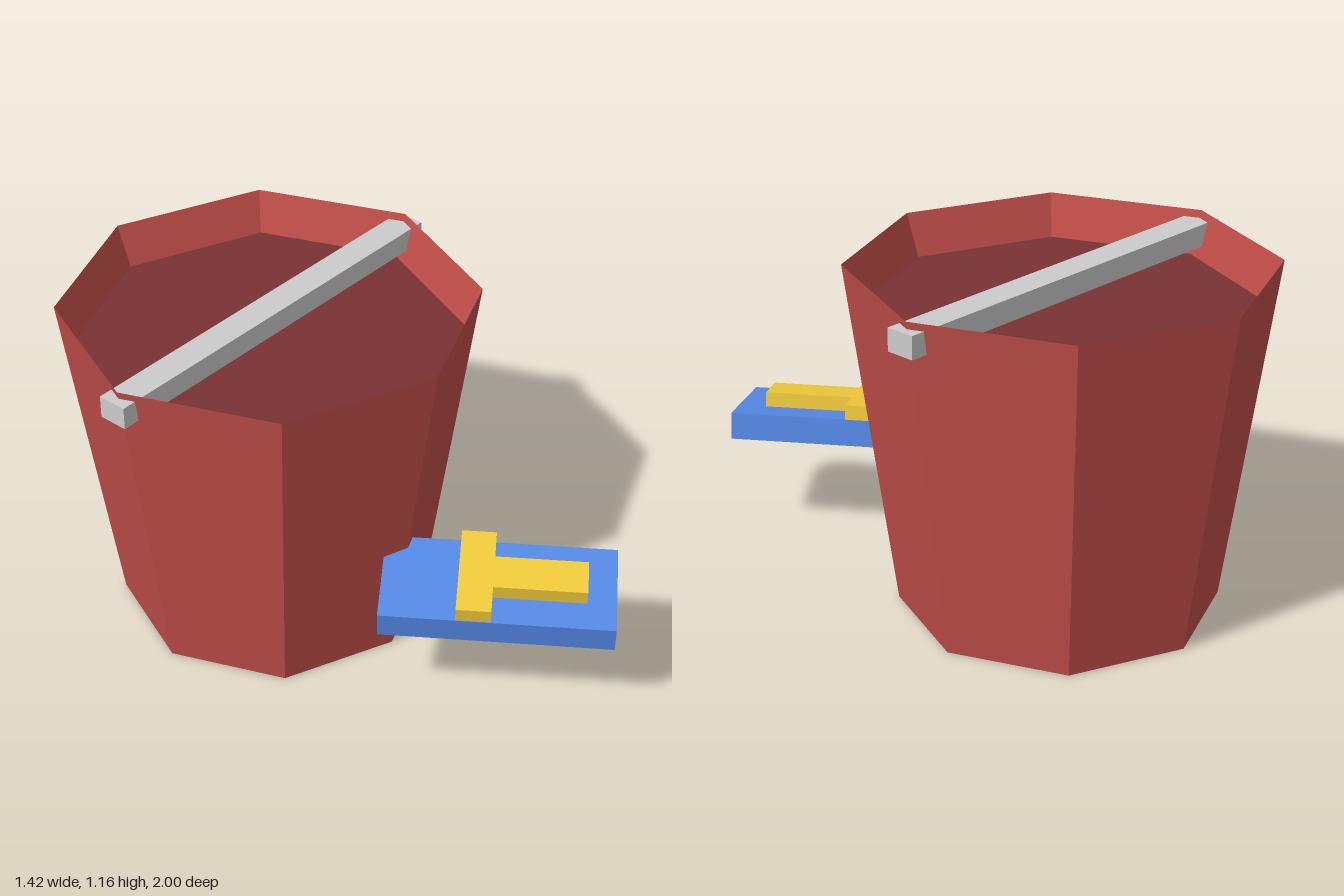
import * as THREE from 'three';

const paint = (color) => new THREE.MeshStandardMaterial({ color, flatShading: true });

function part(name, geometry, material, parent) {
  const mesh = new THREE.Mesh(geometry, material);
  mesh.name = name;
  parent.add(mesh);
  return mesh;
}

export function createModel() {
  const model = new THREE.Group();
  const red = paint(0xc04d49);
  const darkRed = paint(0x7a3234);
  const blue = paint(0x5589e6);
  const yellow = paint(0xf0cb3c);
  const grey = paint(0xcccccc);

  // Eight-sided tapered bucket with a sharp rim and a shallow recess
  const bucket = new THREE.Group();
  bucket.name = 'bucket';
  bucket.position.z = -0.315;
  model.add(bucket);

  const profile = [[0, 0], [0.525, 0], [0.685, 1.16], [0.635, 1.02]]
    .map(([r, y]) => new THREE.Vector2(r, y));
  part('bucketWall', new THREE.LatheGeometry(profile, 8), red, bucket);

  // Surface closing the recess
  const fill = part('bucketFill', new THREE.CircleGeometry(0.635, 8), darkRed, bucket);
  fill.rotation.x = -Math.PI / 2;
  fill.position.y = 1.02;

  // Straight bar through both sides of the rim
  const bar = part('handleBar', new THREE.BoxGeometry(1.42, 0.075, 0.1), grey, bucket);
  bar.position.y = 1.098;

  // Tilted tag sticking out of the front; its origin is the middle of its top face
  const tag = new THREE.Group();
  tag.name = 'tag';
  tag.position.set(0.07, 0.425, 0.59);
  tag.rotation.set(0, 0.607, 0.145);
  model.add(tag);

  const plate = part('tagPlate', new THREE.BoxGeometry(0.346, 0.091, 0.755), blue, tag);
  plate.position.y = -0.0455;

  // Raised T-shaped piece on the tag
  const outline = [
    [-0.171, 0.13], [-0.171, 0.017], [-0.066, 0.017], [-0.066, -0.283],
    [0.066, -0.283], [0.066, 0.017], [0.171, 0.017], [0.171, 0.13],
  ].map(([x, y]) => new THREE.Vector2(x, y));
  const raised = new THREE.ExtrudeGeometry(new THREE.Shape(outline), { depth: 0.05, bevelEnabled: false });
  raised.rotateX(-Math.PI / 2);
  part('tagRaisedShape', raised, yellow, tag);

  return model;
}
